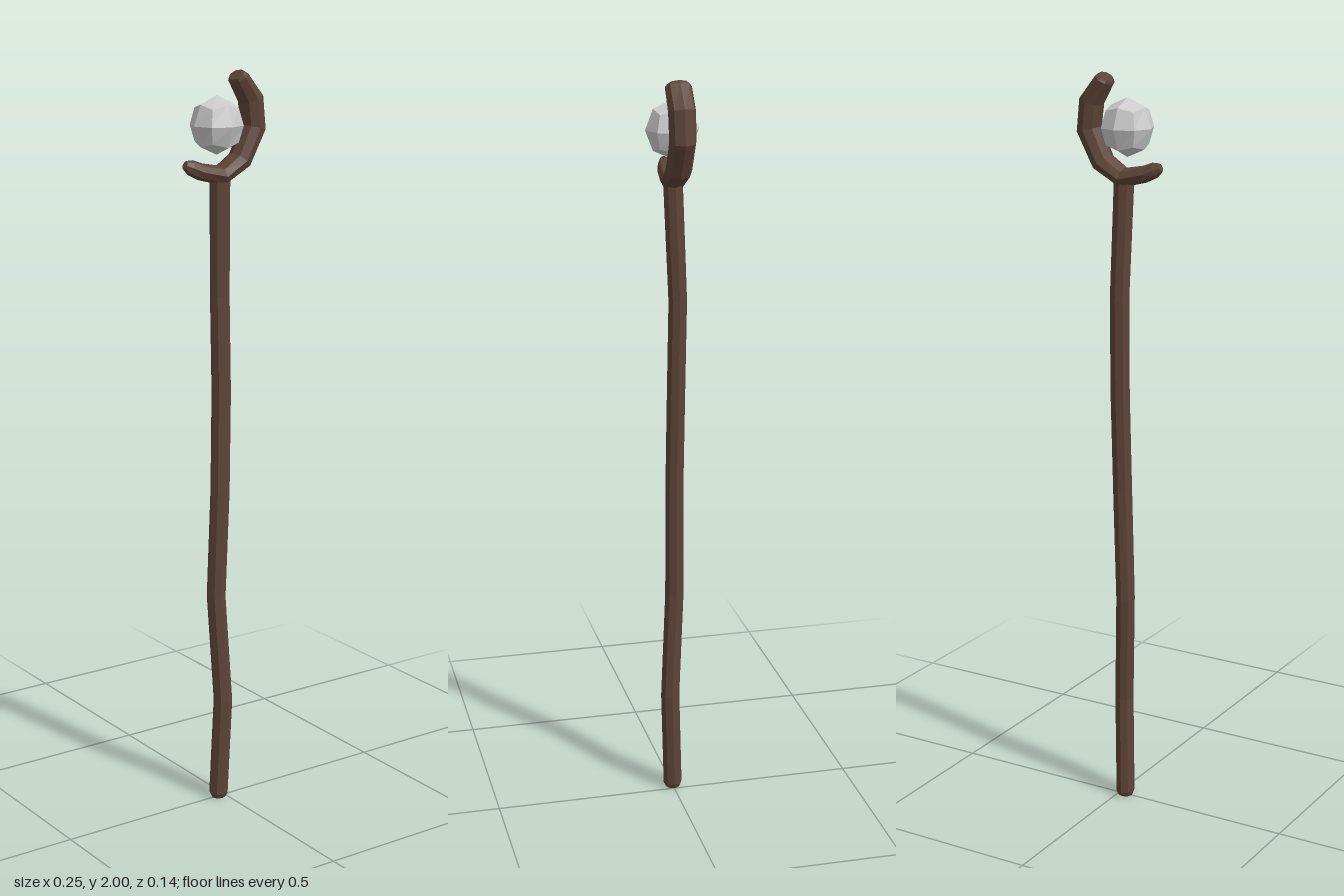
import * as THREE from 'three';

const SIDES = 8;

// Faceted tube through rings [x, y, z, half width in the xy plane, half depth], capped at both ends
function loft(rings) {
  const pos = [], index = [];
  rings.forEach(([x, y, z, w, d], i) => {
    const p = rings[Math.max(i - 1, 0)], n = rings[Math.min(i + 1, rings.length - 1)];
    const dir = new THREE.Vector2(n[0] - p[0], n[1] - p[1]).normalize();
    for (let j = 0; j < SIDES; j++) {
      const a = (j / SIDES) * Math.PI * 2, u = Math.cos(a) * w;
      pos.push(x + dir.y * u, y - dir.x * u, z + Math.sin(a) * d);
    }
  });
  const last = (rings.length - 1) * SIDES, c0 = rings.length * SIDES, c1 = c0 + 1;
  pos.push(...rings[0].slice(0, 3), ...rings[rings.length - 1].slice(0, 3));
  for (let j = 0; j < SIDES; j++) {
    const k = (j + 1) % SIDES;
    for (let b = 0; b < last; b += SIDES) {
      index.push(b + j, b + SIDES + j, b + k, b + k, b + SIDES + j, b + SIDES + k);
    }
    index.push(c0, j, k, c1, last + k, last + j);
  }
  const geo = new THREE.BufferGeometry();
  geo.setAttribute('position', new THREE.Float32BufferAttribute(pos, 3));
  geo.setIndex(index);
  const flat = geo.toNonIndexed();
  flat.computeVertexNormals();
  return flat;
}

export function createModel() {
  const group = new THREE.Group();
  const wood = new THREE.MeshStandardMaterial({ color: 0x5e4438, flatShading: true });
  const grey = new THREE.MeshStandardMaterial({ color: 0xcccccc, flatShading: true });
  const add = (name, geo, mat) => {
    const mesh = new THREE.Mesh(geo, mat);
    mesh.name = name;
    group.add(mesh);
    return mesh;
  };

  // Slightly crooked shaft with a chamfered foot
  add('shaft', loft([
    [-0.02, 0, 0, 0.02, 0.02],
    [-0.02, 0.013, 0, 0.026, 0.026],
    [-0.011, 0.29, 0.009, 0.026, 0.026],
    [-0.023, 0.59, -0.006, 0.026, 0.026],
    [-0.012, 0.89, -0.003, 0.027, 0.025],
    [-0.006, 1.16, -0.006, 0.027, 0.025],
    [-0.007, 1.42, -0.011, 0.027, 0.025],
    [-0.014, 1.73, 0, 0.028, 0.026],
  ]), wood);

  // Curved crook that cradles the orb
  add('crook', loft([
    [-0.122, 1.771, 0, 0.012, 0.01],
    [-0.106, 1.764, 0, 0.02, 0.018],
    [-0.075, 1.751, 0, 0.022, 0.027],
    [-0.012, 1.737, 0, 0.026, 0.034],
    [0.048, 1.773, 0, 0.03, 0.035],
    [0.09, 1.855, 0, 0.033, 0.035],
    [0.082, 1.928, 0, 0.033, 0.036],
    [0.043, 1.985, 0, 0.024, 0.035],
    [0.038, 1.991, 0, 0.019, 0.028],
  ]), wood);

  // Floating orb: a coarse cube rounded into a ball
  const ball = new THREE.BoxGeometry(1, 1, 1, 2, 2, 2);
  const p = ball.attributes.position, v = new THREE.Vector3();
  for (let i = 0; i < p.count; i++) {
    v.fromBufferAttribute(p, i).normalize();
    p.setXYZ(i, v.x * 0.07, v.y * 0.076, v.z * 0.071);
  }
  ball.computeVertexNormals();
  add('orb', ball, grey).position.set(-0.024, 1.867, 0);

  return group;
}
